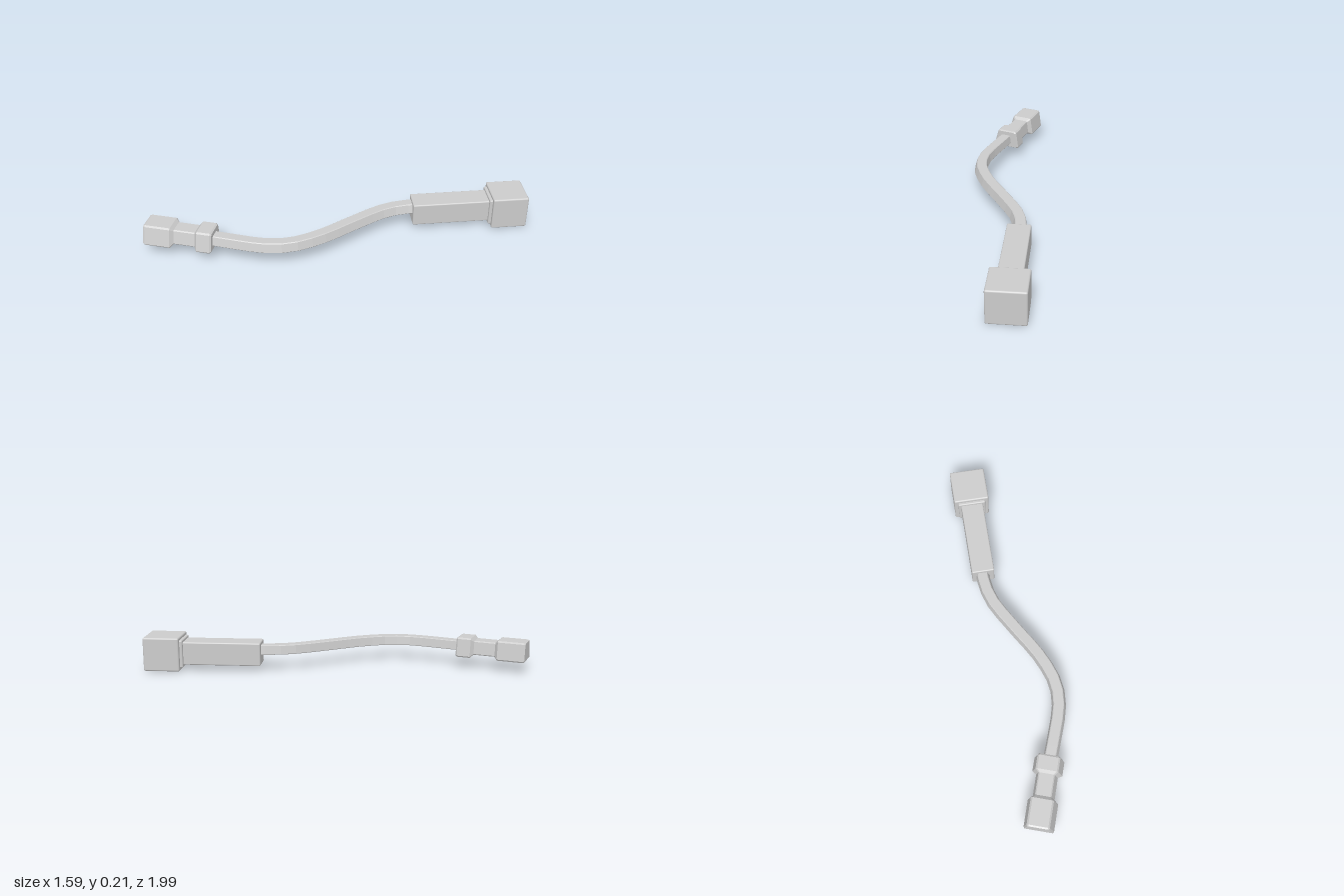
import * as THREE from 'three';
import { RoundedBoxGeometry } from 'three/addons/geometries/RoundedBoxGeometry.js';

// Shared cross-section (sideways, up): a chamfered, lopsided trapezoid
const PROFILE = [
  [-0.085, -0.06], [0.085, -0.06], [0.09, -0.052], [0.06, 0.052],
  [0.05, 0.06], [-0.065, 0.06], [-0.075, 0.052], [-0.09, -0.052],
];
const AXIS_Y = 0.13;

const material = new THREE.MeshStandardMaterial({ color: 0xcccccc });
const facetedMaterial = new THREE.MeshStandardMaterial({ color: 0xcccccc, flatShading: true });

// Skin the profile through stations { p, t, s }: position, tangent, scale
function loft(stations) {
  const rings = stations.map(({ p, t, s }) => PROFILE.map(([u, v]) =>
    new THREE.Vector3(p.x - t.z * u * s, AXIS_Y + v * s, p.z + t.x * u * s)));
  const pts = [];
  const n = PROFILE.length;
  for (let i = 0; i < rings.length - 1; i++) {
    const a = rings[i], b = rings[i + 1];
    for (let j = 0; j < n; j++) {
      const k = (j + 1) % n;
      pts.push(a[j], b[k], a[k], a[j], b[j], b[k]);
    }
  }
  const first = rings[0], last = rings[rings.length - 1];
  for (let j = 1; j < n - 1; j++) {
    pts.push(first[0], first[j], first[j + 1], last[0], last[j + 1], last[j]);
  }
  const geometry = new THREE.BufferGeometry().setFromPoints(pts);
  geometry.computeVertexNormals();
  return geometry;
}

function addMesh(parent, name, geometry, mat) {
  const mesh = new THREE.Mesh(geometry, mat);
  mesh.name = name;
  parent.add(mesh);
  return mesh;
}

export function createModel() {
  const model = new THREE.Group();
  model.name = 'cableConnector';

  // Plug: end block, narrow neck and rib, as distance along axis and scale
  const start = new THREE.Vector3(-0.755, 0, 0.918);
  const dir = new THREE.Vector3(0.857, 0, -0.514).normalize();
  const plugSteps = [
    [0, 0.94], [0.01, 1], [0.168, 1], [0.188, 0.72],
    [0.32, 0.72], [0.338, 1], [0.42, 1], [0.43, 0.9],
  ];
  addMesh(model, 'plug', loft(plugSteps.map(([d, s]) => ({
    p: start.clone().addScaledVector(dir, d), t: dir, s,
  }))), facetedMaterial);

  // Cable: S-shaped run from the plug to the sleeve
  const path = new THREE.CatmullRomCurve3([
    [-0.41, 0.715], [-0.24, 0.62], [-0.11, 0.54], [-0.01, 0.43], [0.06, 0.25],
    [0.105, 0], [0.15, -0.215], [0.21, -0.335], [0.285, -0.425],
  ].map(([x, z]) => new THREE.Vector3(x, 0, z)));
  const stations = [];
  for (let i = 0; i <= 16; i++) {
    stations.push({ p: path.getPointAt(i / 16), t: path.getTangentAt(i / 16), s: 0.48 });
  }
  addMesh(model, 'cable', loft(stations), facetedMaterial);

  // Housing: block, collar and sleeve, local z pointing away from the cable
  const housing = new THREE.Group();
  housing.name = 'housing';
  housing.position.set(0.64, 0, -0.842);
  housing.rotation.y = Math.atan2(0.646, -0.763);
  model.add(housing);
  const addBox = (name, width, y0, y1, z0, z1, radius) => {
    const geometry = new RoundedBoxGeometry(width, y1 - y0, z1 - z0, 2, radius);
    addMesh(housing, name, geometry, material).position.set(0, (y0 + y1) / 2, (z0 + z1) / 2);
  };
  addBox('block', 0.224, 0, 0.21, -0.112, 0.112, 0.01);
  addBox('collar', 0.176, 0.018, 0.192, -0.13, 0, 0.008);
  addBox('sleeve', 0.142, 0.034, 0.178, -0.61, 0, 0.008);

  return model;
}
